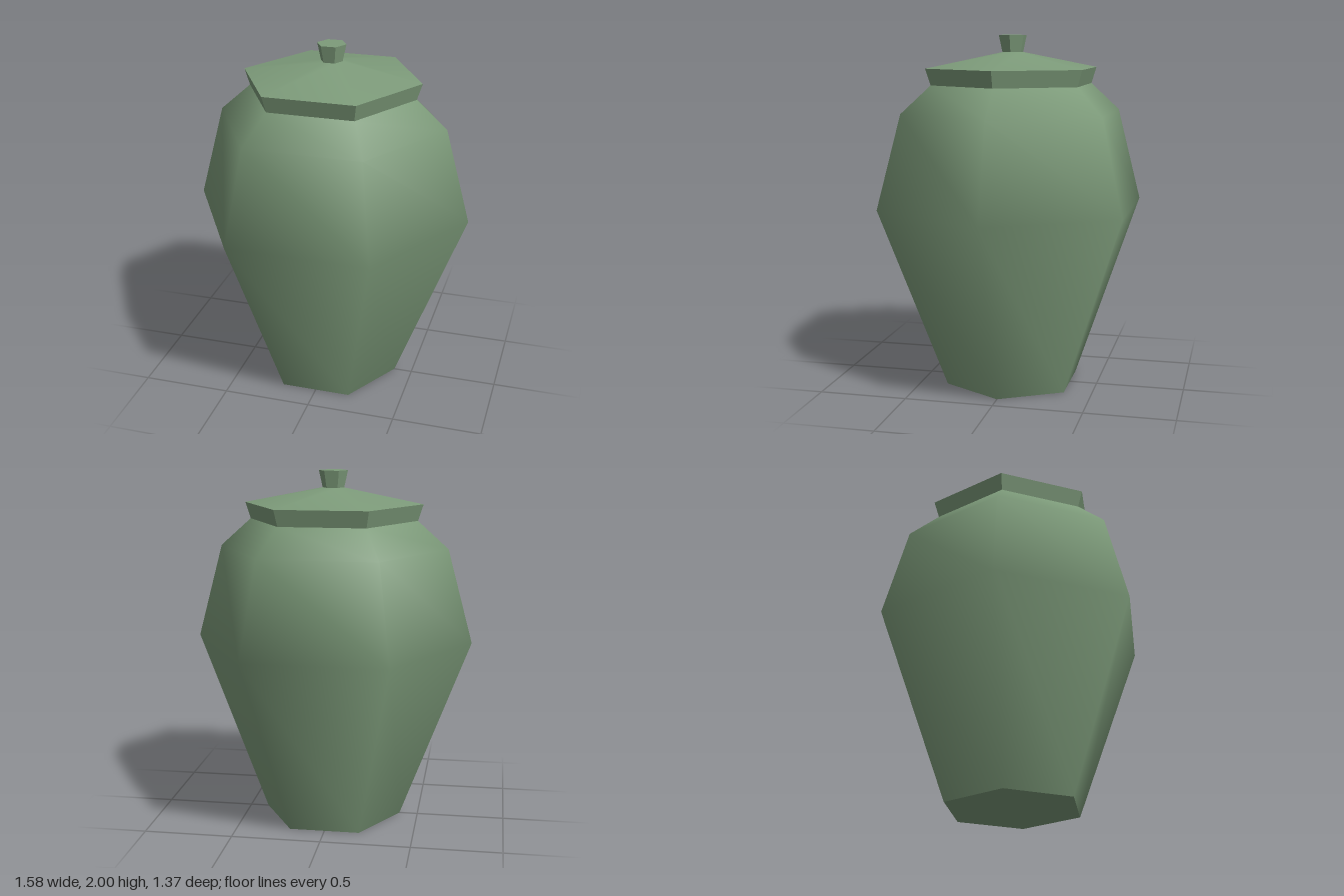
import * as THREE from 'three';

const SIDES = 6;
const START = Math.PI / 2; // puts corners on the x axis

export function createModel() {
  const group = new THREE.Group();
  const glaze = new THREE.MeshStandardMaterial({ color: 0x7d9b7a });
  glaze.name = 'sageGreen';

  const add = (name, geometry, y = 0) => {
    const mesh = new THREE.Mesh(geometry, glaze);
    mesh.name = name;
    mesh.position.y = y;
    group.add(mesh);
  };

  // six-sided frustum standing on y0, with flat or smooth sides
  const frustum = (name, rBottom, rTop, y0, y1, flat) => {
    let g = new THREE.CylinderGeometry(rTop, rBottom, y1 - y0, SIDES, 1, false, START);
    if (flat) {
      g = g.toNonIndexed();
      g.computeVertexNormals();
    }
    add(name, g, (y0 + y1) / 2);
  };

  // smooth-shaded jar body
  const profile = [[0.395, 0], [0.79, 1.04], [0.648, 1.57], [0.475, 1.725]]
    .map(([r, y]) => new THREE.Vector2(r, y));
  add('body', new THREE.LatheGeometry(profile, SIDES, START));

  // flat underside
  const base = new THREE.CircleGeometry(0.395, SIDES);
  base.rotateX(Math.PI / 2);
  add('base', base);

  // faceted lid rim, shallow roof and knob
  frustum('lidRim', 0.475, 0.505, 1.725, 1.817, true);
  frustum('lidRoof', 0.505, 0.06, 1.817, 1.905, false);
  frustum('knob', 0.06, 0.082, 1.9, 2, true);

  return group;
}
